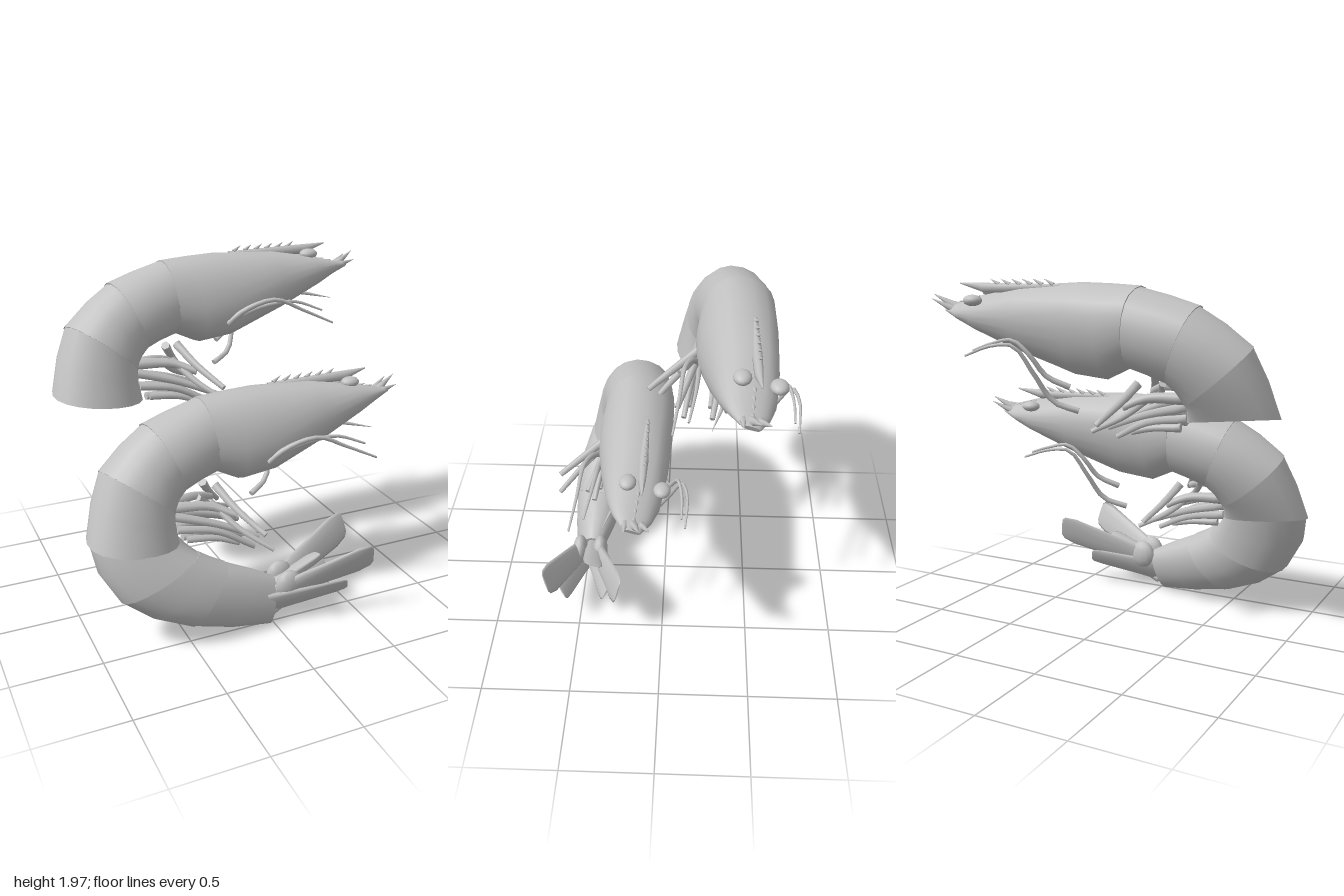
import * as THREE from 'three';

const V = (x, y, z) => new THREE.Vector3(x, y, z);
const shell = new THREE.MeshStandardMaterial({ color: 0xc2c2c2 });
shell.name = 'grey shell';

// The body lies in a plane leaning back; w is the distance to its left side
const side = V(0, 0.3, 0.95);
const at = (x, y, w = 0) => V(x, y, 0.525 - 0.34 * y).addScaledVector(side, w);

// Skin over rings {c, u, v}: centre and two half axes, closed at both ends;
// low under 1 makes the -u half of each ring boxier
function loft(rings, sides = 16, low = 1) {
  const pos = [], idx = [], n = rings.length;
  const m = Math.floor((n - 1) / 2);
  const dir = rings[m + 1].c.clone().sub(rings[m].c);
  const flip = rings[m].u.clone().cross(rings[m].v).dot(dir) < 0 ? -1 : 1;
  const addRing = (r) => {
    const start = pos.length / 3;
    for (let j = 0; j < sides; j++) {
      const a = (j / sides) * Math.PI * 2, s = Math.sin(a);
      const across = Math.sign(s) * Math.abs(s) ** (Math.cos(a) < 0 ? low : 0.5 + low / 2);
      const p = r.c.clone().addScaledVector(r.u, Math.cos(a)).addScaledVector(r.v, flip * across);
      pos.push(p.x, p.y, p.z);
    }
    return start;
  };
  rings.forEach((r, k) => {
    const s = addRing(r);
    if (k === 0) return;
    for (let j = 0; j < sides; j++) {
      const a = s - sides + j, b = s - sides + ((j + 1) % sides);
      idx.push(a, b, a + sides, b, b + sides, a + sides);
    }
  });
  [rings[0], rings[n - 1]].forEach((r, end) => {
    const s = addRing(r), mid = pos.length / 3;
    pos.push(r.c.x, r.c.y, r.c.z);
    for (let j = 0; j < sides; j++) {
      const a = s + j, b = s + ((j + 1) % sides);
      if (end) idx.push(a, b, mid); else idx.push(b, a, mid);
    }
  });
  const g = new THREE.BufferGeometry();
  g.setAttribute('position', new THREE.Float32BufferAttribute(pos, 3));
  g.setIndex(idx);
  g.computeVertexNormals();
  return g;
}

// Body ring from its back point, belly point, half width and drop of its left side
function bodyRing([tx, ty, bx, by, w, drop = 0], s = 1) {
  const t = at(tx, ty), b = at(bx, by);
  return {
    c: t.clone().add(b).multiplyScalar(0.5),
    u: t.clone().sub(b).multiplyScalar(0.5 * s),
    v: side.clone().multiplyScalar(w * s).add(V(0, -drop, 0)),
  };
}

// Tapered round limb through a few points
function limb(points, r0, r1 = r0 * 0.25, steps = 8) {
  const curve = new THREE.CatmullRomCurve3(points);
  const f = curve.computeFrenetFrames(steps);
  const rings = [];
  for (let i = 0; i <= steps; i++) {
    const r = r0 + (r1 - r0) * (i / steps);
    rings.push({
      c: curve.getPointAt(i / steps),
      u: f.normals[i].clone().multiplyScalar(r),
      v: f.binormals[i].clone().multiplyScalar(r),
    });
  }
  return loft(rings, 6);
}
const spike = (a, b, r) => limb([a, b], r, 0.001, 2);

// Flat tail blade with a blunt end; root is its width at the base
function blade(base, tip, width, root = 0.6) {
  const thick = tip.clone().sub(base).cross(width).normalize();
  return loft([[0, root, 0.03], [0.3, 0.5 + root / 2, 0.026], [0.85, 1, 0.014], [0.97, 0.85, 0.008], [1, 0.6, 0.004]].map(([t, w, h]) => ({
    c: base.clone().lerp(tip, t),
    u: width.clone().multiplyScalar(w),
    v: thick.clone().multiplyScalar(h),
  })), 10);
}

const carapace = [
  [-0.29, 1.28, -0.25, 0.89, 0.2], [-0.12, 1.292, -0.1, 0.82, 0.205], [0.05, 1.298, 0.1, 0.84, 0.2],
  [0.4, 1.28, 0.43, 0.955, 0.175], [0.68, 1.23, 0.7, 1.065, 0.14], [0.82, 1.195, 0.81, 1.115, 0.1],
  [0.92, 1.175, 0.91, 1.15, 0.045],
];

// Abdomen segments from the carapace to the tail
const segments = [
  [[-0.28, 1.28, -0.23, 0.88, 0.2], [-0.45, 1.235, -0.34, 0.85, 0.206], [-0.61, 1.185, -0.44, 0.81, 0.205]],
  [[-0.6, 1.185, -0.43, 0.815, 0.206], [-0.74, 1.095, -0.48, 0.77, 0.205], [-0.88, 0.98, -0.51, 0.7, 0.2]],
  [[-0.875, 0.985, -0.51, 0.705, 0.201], [-0.945, 0.82, -0.515, 0.65, 0.197, 0.04], [-1, 0.63, -0.5, 0.575, 0.19, 0.08]],
  [[-0.995, 0.645, -0.5, 0.585, 0.191, 0.08], [-0.965, 0.48, -0.46, 0.535, 0.187, 0.04], [-0.86, 0.3, -0.4, 0.48, 0.182]],
  [[-0.865, 0.305, -0.4, 0.485, 0.183], [-0.7, 0.185, -0.33, 0.44, 0.175], [-0.5, 0.1, -0.25, 0.4, 0.158]],
  [[-0.51, 0.105, -0.255, 0.4, 0.159], [-0.27, 0.045, -0.1, 0.33, 0.12], [-0.03, 0.01, 0.03, 0.265, 0.074]],
];

// Walking and swimming legs: start, knee and end as [x, y, w], radius, lift of the right one
const legs = [
  [[-0.28, 0.82, 0.1], [-0.22, 0.7, 0.2], [-0.12, 0.56, 0.33], 0.027, 0.12],
  [[-0.32, 0.74, 0.1], [-0.22, 0.6, 0.2], [-0.07, 0.47, 0.3], 0.023, 0.16],
  [[-0.52, 0.74, 0.07], [-0.33, 0.72, 0.12], [-0.21, 0.66, 0.18], 0.034, 0.06],
  [[-0.52, 0.69, 0.06], [-0.3, 0.62, 0.1], [-0.08, 0.52, 0.14], 0.028, 0.06],
  [[-0.51, 0.62, 0.05], [-0.3, 0.58, 0.08], [-0.09, 0.46, 0.08], 0.026, 0.04],
  [[-0.46, 0.56, 0.04], [-0.3, 0.54, 0.06], [-0.17, 0.49, 0.06], 0.024, 0.03],
];

function shrimp(count, withTail) {
  const g = new THREE.Group();
  const add = (name, geo) => {
    const m = new THREE.Mesh(geo, shell);
    m.name = name;
    g.add(m);
    return m;
  };
  add('carapace', loft(carapace.map((r) => bodyRing(r)), 20, 0.64));
  segments.slice(0, count).forEach((s, i) =>
    add('abdomenSegment' + (i + 1), loft(s.map((r, k) => bodyRing(r, k === 0 ? 0.99 : 1)), 20, 0.78)));

  // Eyes
  for (const p of [V(0.65, 1.26, 0.165), V(0.65, 1.21, -0.01)]) {
    const eye = add('eye', new THREE.SphereGeometry(1, 14, 10));
    eye.scale.set(0.056, 0.031, 0.045);
    eye.position.copy(p);
  }

  // Rostrum with its teeth, and the points of the snout
  add('rostrum', loft([[0.15, 1.298, 0.2, 1.26, 0.012], [0.5, 1.303, 0.5, 1.25, 0.025],
    [0.65, 1.304, 0.65, 1.25, 0.02], [0.8, 1.305, 0.8, 1.298, 0.003]].map((r) => bodyRing(r)), 8));
  for (let i = 0; i < 6; i++) {
    const x = 0.19 + i * 0.07;
    add('rostrumTooth', spike(at(x, 1.295), at(x + 0.05, 1.325), 0.013));
  }
  for (let i = 0; i < 4; i++) {
    const x = 0.69 + i * 0.05;
    add('snoutTooth', spike(at(x, 1.222 - i * 0.013), at(x + 0.045, 1.228 - i * 0.013), 0.012));
  }
  add('snoutPoint', spike(at(0.85, 1.16), V(0.995, 1.24, 0.09), 0.03));
  add('snoutPoint', spike(at(0.84, 1.16, 0.04), V(0.97, 1.2, 0.165), 0.025));
  add('snoutPoint', spike(at(0.84, 1.16, -0.04), V(0.97, 1.215, 0.04), 0.025));

  // Legs on both sides
  for (const s of [1, -1]) {
    for (const [a, b, c, r, rise] of legs) {
      const lift = s < 0 ? rise : 0;
      add(s > 0 ? 'leftLeg' : 'rightLeg', limb([at(a[0], a[1], s * a[2]), at(b[0], b[1] + lift / 2, s * b[2]),
        at(c[0], c[1] + lift, s * c[2])], r, r * 0.6));
    }
  }

  // Long arched feelers
  add('leftFeeler', limb([V(0.03, 0.94, 0.36), V(0.14, 1.025, 0.4), V(0.3, 1.07, 0.44), V(0.46, 1, 0.46), V(0.65, 0.91, 0.49)], 0.018, 0.006, 14));
  add('leftFeeler', limb([V(0.05, 0.93, 0.32), V(0.18, 1, 0.36), V(0.34, 1.03, 0.37), V(0.46, 1.03, 0.38), V(0.62, 0.97, 0.41)], 0.018, 0.006, 14));
  add('leftFeeler', spike(V(0.5, 1.06, 0.22), V(0.74, 1.01, 0.3), 0.016));
  add('rightFeeler', limb([V(0.05, 0.63, 0.1), V(0.17, 0.68, 0.04), V(0.24, 0.83, -0.04), V(0.32, 0.98, -0.11), V(0.44, 0.98, -0.14), V(0.62, 0.92, -0.13)], 0.017, 0.006, 14));
  add('rightFeeler', limb([V(0.08, 0.76, 0.06), V(0.19, 0.82, 0), V(0.25, 0.93, -0.06), V(0.34, 1.01, -0.09), V(0.46, 0.99, -0.11), V(0.58, 0.95, -0.11)], 0.017, 0.006, 14));

  // Tail fan
  if (withTail) {
    add('leftUpperFin', blade(V(0.02, 0.19, 0.5), V(0.55, 0.4, 0.67), V(-0.02, 0.09, 0.025)));
    add('rightUpperFin', blade(V(0.02, 0.19, 0.44), V(0.6, 0.39, 0.25), V(-0.02, 0.09, -0.025)));
    add('leftLowerFin', blade(V(-0.02, 0.13, 0.5), V(0.43, 0.2, 0.6), V(-0.02, 0.055, 0.03), 1.5));
    add('rightLowerFin', blade(V(-0.02, 0.13, 0.46), V(0.43, 0.2, 0.34), V(-0.02, 0.055, -0.03), 1.5));
    add('telson', blade(V(-0.02, 0.2, 0.45), V(0.33, 0.33, 0.42), V(0, 0.02, 0.06)));
    for (const p of [V(0.09, 0.24, 0.525), V(0.09, 0.24, 0.4)]) {
      const knob = add('finBase', new THREE.SphereGeometry(1, 12, 8));
      knob.scale.set(0.08, 0.085, 0.045);
      knob.position.copy(p);
    }
  }
  return g;
}

export function createModel() {
  const model = new THREE.Group();
  const front = shrimp(6, true);
  front.name = 'frontShrimp';
  // The second one stops at the third abdomen segment
  const rear = shrimp(3, false);
  rear.name = 'rearShrimp';
  rear.position.set(0, 0.65, -0.55);
  model.add(front, rear);
  return model;
}
